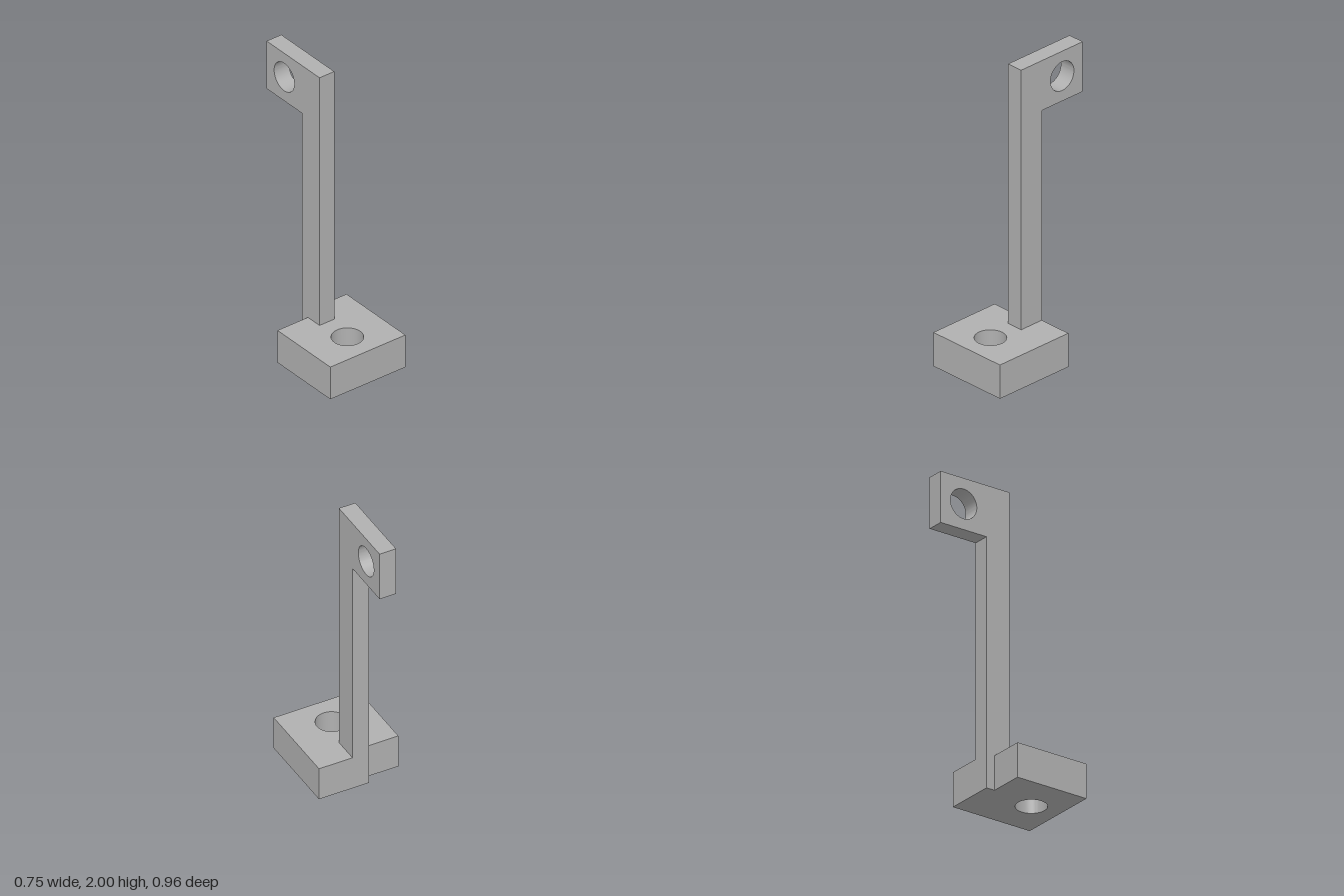
import * as THREE from 'three';
import { toCreasedNormals } from 'three/addons/utils/BufferGeometryUtils.js';

const HOLE_RADIUS = 0.098;
const ARM_THICKNESS = 0.112;

// Extrudes an outline with one round hole, keeping outer edges sharp and the bore smooth.
function drilledPlate(points, holeX, holeY, depth) {
  const shape = new THREE.Shape(points.map(([x, y]) => new THREE.Vector2(x, y)));
  const hole = new THREE.Path();
  hole.absarc(holeX, holeY, HOLE_RADIUS, 0, Math.PI * 2, true);
  shape.holes.push(hole);
  const geometry = new THREE.ExtrudeGeometry(shape, { depth, bevelEnabled: false, curveSegments: 32 });
  return toCreasedNormals(geometry, Math.PI / 6);
}

export function createModel() {
  const model = new THREE.Group();
  model.name = 'bracket';
  const grey = new THREE.MeshStandardMaterial({ color: 0xb0b0b0 });
  grey.name = 'grey';

  // Base block with a stepped back edge (outline drawn as x, -z)
  const baseGeometry = drilledPlate([
    [-0.344, -0.356], [0.228, -0.356], [0.228, 0.216],
    [-ARM_THICKNESS, 0.216], [-ARM_THICKNESS, 0.157], [-0.344, 0.157],
  ], -0.058, -0.157, 0.23);
  baseGeometry.rotateX(-Math.PI / 2);
  const base = new THREE.Mesh(baseGeometry, grey);
  base.name = 'base';

  // Upright post with a rear-pointing drilled lug (outline drawn as -z, y)
  const armGeometry = drilledPlate([
    [0.044, 0.23], [0.216, 0.23], [0.216, 1.66],
    [0.558, 1.66], [0.558, 2], [0.044, 2],
  ], 0.387, 1.83, ARM_THICKNESS);
  armGeometry.rotateY(Math.PI / 2);
  armGeometry.translate(-ARM_THICKNESS, 0, 0);
  const arm = new THREE.Mesh(armGeometry, grey);
  arm.name = 'arm';

  // The whole bracket stands turned by thirty degrees
  const turned = new THREE.Group();
  turned.name = 'turnedBracket';
  turned.rotation.y = Math.PI / 6;
  turned.add(base, arm);
  model.add(turned);
  return model;
}
